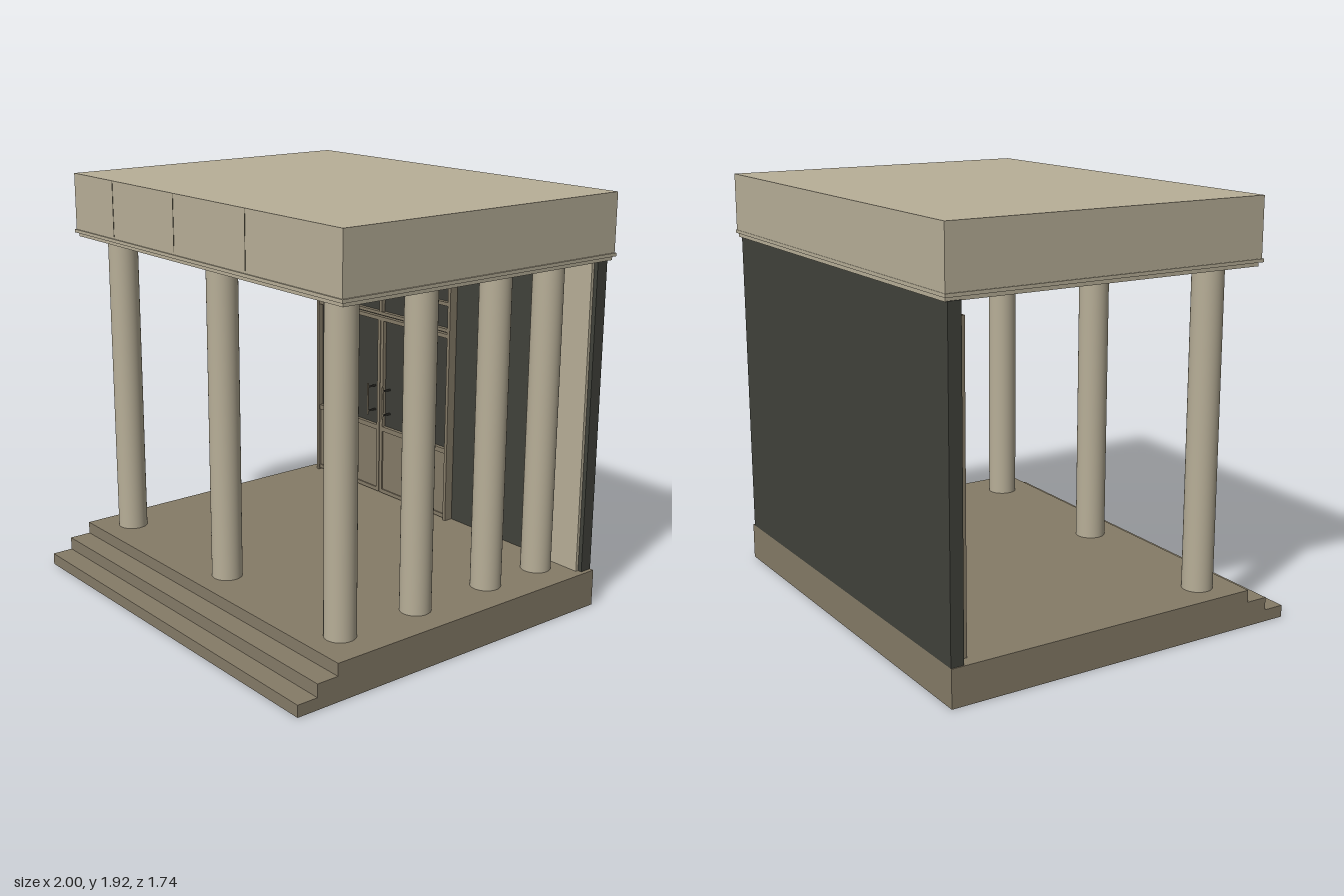
import * as THREE from 'three';

const mat = (name, color, extra = {}) => {
  const m = new THREE.MeshStandardMaterial({ color, ...extra });
  m.name = name;
  return m;
};

export function createModel() {
  const root = new THREE.Group();
  root.name = 'entrancePorch';
  const stone = mat('paleStone', 0xb8af98);
  const paving = mat('darkStone', 0x857b67);
  const wallMat = mat('charcoalWall', 0x41423b);
  const glassMat = mat('darkGlass', 0x3d3e38);
  const metal = mat('darkMetal', 0x3a3831);
  const seamMat = mat('seam', 0x6b6555);

  // Box given by its min/max limits on each axis
  const box = (name, m, x0, x1, y0, y1, z0, z1, parent = root) => {
    const mesh = new THREE.Mesh(new THREE.BoxGeometry(x1 - x0, y1 - y0, z1 - z0), m);
    mesh.position.set((x0 + x1) / 2, (y0 + y1) / 2, (z0 + z1) / 2);
    mesh.name = name;
    parent.add(mesh);
    return mesh;
  };

  // Three steps, the top one being the porch floor
  [[0, 0.055, 0.87], [0.055, 0.115, 0.77], [0.115, 0.172, 0.665]].forEach(([y0, y1, z], i) =>
    box(`step${i + 1}`, paving, -0.995, 0.985, y0, y1, -0.855, z));

  // Back wall and corner pilaster
  box('backWall', wallMat, -0.99, 0.965, 0.172, 1.625, -0.855, -0.795);
  box('pilaster', stone, 0.78, 0.945, 0.172, 1.625, -0.795, -0.78);

  // Roof with a stepped cornice
  box('roof', stone, -0.995, 0.992, 1.655, 1.92, -0.868, 0.658);
  box('corniceUpper', stone, -1, 1, 1.64, 1.655, -0.87, 0.665);
  box('corniceLower', stone, -0.985, 0.985, 1.622, 1.64, -0.862, 0.65);
  for (const x of [-0.65, -0.15, 0.375])
    box('fasciaSeam', seamMat, x - 0.002, x + 0.002, 1.665, 1.92, 0.655, 0.6595);

  // Columns along the front and the right-hand side of the plan
  const columnGeo = new THREE.CylinderGeometry(0.07, 0.07, 1.452, 40);
  for (const [x, z] of [[-0.84, 0.5], [-0.02, 0.5], [0.795, 0.5], [0.795, 0.08], [0.795, -0.345], [0.795, -0.67]]) {
    const column = new THREE.Mesh(columnGeo, stone);
    column.position.set(x, 0.898, z);
    column.name = 'column';
    root.add(column);
  }

  // Ceiling lights: a dark ring around a pale disc
  const ringGeo = new THREE.TorusGeometry(0.029, 0.006, 8, 32).rotateX(Math.PI / 2);
  const discGeo = new THREE.CylinderGeometry(0.027, 0.027, 0.004, 32);
  for (const x of [-0.52, 0.29]) for (const z of [0.42, 0.025]) {
    const lamp = new THREE.Group();
    lamp.name = 'ceilingLight';
    lamp.add(new THREE.Mesh(ringGeo, metal), new THREE.Mesh(discGeo, stone));
    lamp.children[0].name = 'lampRing';
    lamp.children[1].name = 'lampDisc';
    lamp.position.set(x, 1.62, z);
    root.add(lamp);
  }

  // Double door with a transom window above
  const door = new THREE.Group();
  door.name = 'doubleDoor';
  root.add(door);
  const zb = -0.795, zf = -0.75, mid = -0.418;
  box('glazing', glassMat, -0.93, 0.095, 0.18, 1.545, zb, -0.777, door);
  for (const s of [-1, 1]) {
    const at = (name, m, a, b, y0, y1, z0, z1) =>
      box(name, m, Math.min(mid + s * a, mid + s * b), Math.max(mid + s * a, mid + s * b), y0, y1, z0, z1, door);
    at('framePost', paving, 0.5, 0.518, 0.172, 1.555, zb, zf);
    at('transomMullion', paving, 0.338, 0.352, 1.155, 1.54, zb, -0.757);
    at('doorStile', paving, 0.002, 0.022, 0.18, 1.12, zb, -0.757);
    at('doorPanel', paving, 0.022, 0.5, 0.2, 0.525, zb, -0.764);
    at('lockRail', paving, 0.022, 0.5, 0.52, 0.545, zb, -0.757);
    at('bottomRail', paving, 0.022, 0.5, 0.18, 0.2, zb, -0.757);

    // Upright pull handle on two short brackets
    const handle = new THREE.Mesh(new THREE.CylinderGeometry(0.005, 0.005, 0.17, 12), paving);
    handle.position.set(mid + s * 0.058, 0.685, -0.725);
    handle.name = 'handle';
    door.add(handle);
    for (const y of [0.62, 0.75]) at('handleBracket', metal, 0.054, 0.062, y - 0.004, y + 0.004, -0.777, -0.725);
  }
  box('centreMullion', paving, mid - 0.01, mid + 0.01, 1.155, 1.54, zb, -0.755, door);
  for (const [name, y0, y1] of [['headRail', 1.538, 1.555], ['transomBar', 1.272, 1.29], ['transomSill', 1.142, 1.158], ['doorHead', 1.112, 1.132]])
    box(name, paving, -0.92, 0.085, y0, y1, zb, -0.754, door);

  return root;
}
